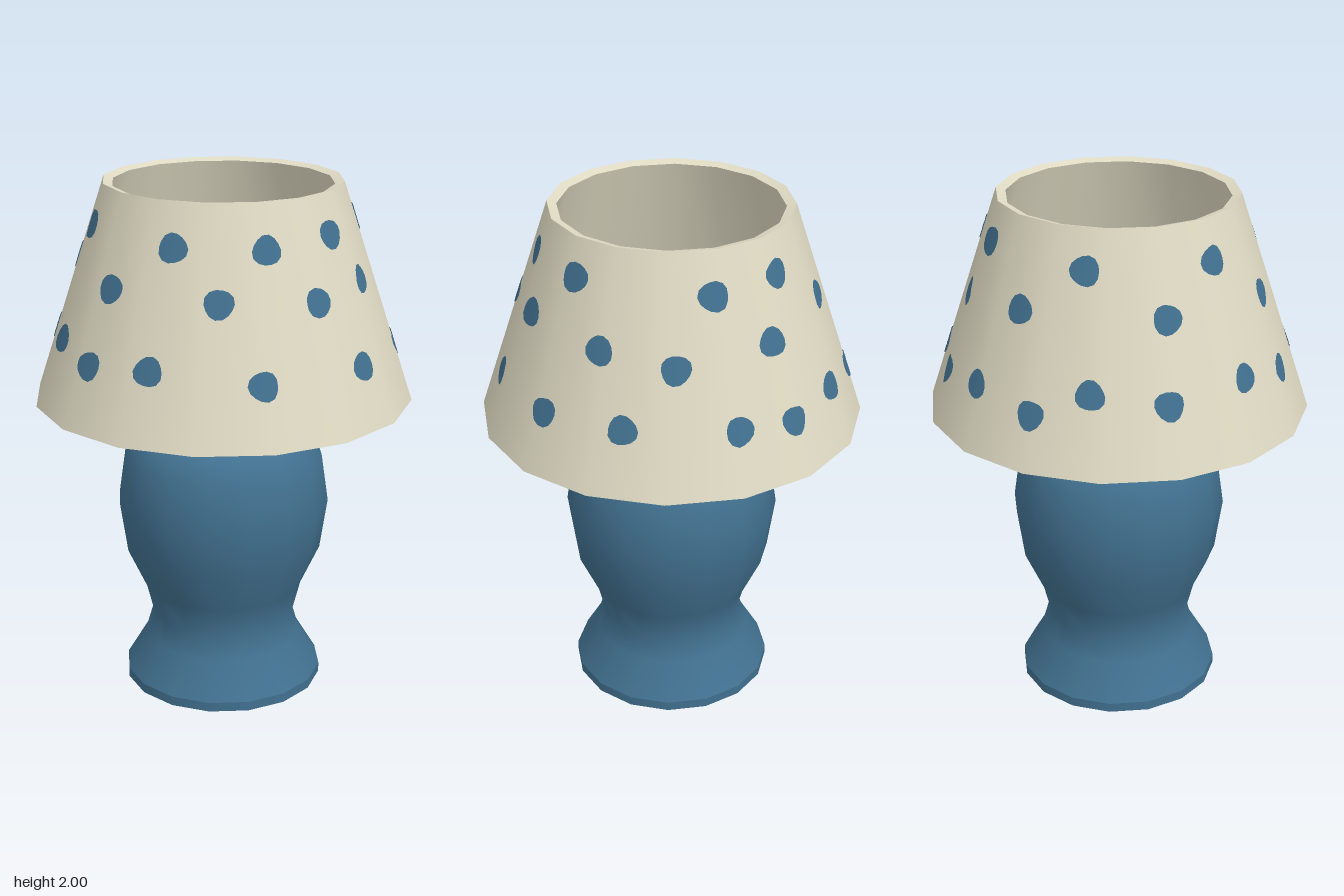
import * as THREE from 'three';

const SIDES = 16;
const SHADE = { yBottom: 1.175, yTop: 2, rBottom: 0.72, rTop: 0.447 };

// Angle in degrees (0 = front, 90 = model's left) and height of each spot
const SPOTS = [
  [-159, 1.38], [-179, 1.40], [-162, 1.66], [176, 1.85], [161, 1.62], [144, 1.41],
  [133, 1.66], [115, 1.40], [117, 1.87], [95, 1.68], [82, 1.40], [81, 1.86],
  [67, 1.65], [48, 1.84], [43, 1.40], [29, 1.67], [10, 1.845], [6, 1.435],
  [-18, 1.41], [-15.5, 1.68], [-39.5, 1.45], [-43.5, 1.86], [-69, 1.42], [-67, 1.70],
  [-94, 1.46], [-98.5, 1.86], [-113, 1.37], [-124, 1.70], [-137, 1.41], [-153, 1.87],
];

function lathe(name, profile, material) {
  const points = profile.map(([r, y]) => new THREE.Vector2(r, y));
  const mesh = new THREE.Mesh(new THREE.LatheGeometry(points, SIDES), material);
  mesh.name = name;
  return mesh;
}

// Radius of the sixteen-sided shade at an angle and height
function shadeRadius(angle, y) {
  const t = (y - SHADE.yBottom) / (SHADE.yTop - SHADE.yBottom);
  const r = THREE.MathUtils.lerp(SHADE.rBottom, SHADE.rTop, t);
  const step = (Math.PI * 2) / SIDES;
  const local = THREE.MathUtils.euclideanModulo(angle, step) - step / 2;
  return (r * Math.cos(step / 2)) / Math.cos(local);
}

// A thin, slightly uneven disc wrapped onto the shade
function spot(degrees, height, index, material) {
  const geometry = new THREE.RingGeometry(0, 0.053, 14, 3);
  const pos = geometry.attributes.position;
  const normal = geometry.attributes.normal;
  const centre = THREE.MathUtils.degToRad(degrees);
  const r0 = shadeRadius(centre, height);
  for (let i = 0; i < pos.count; i++) {
    const u = pos.getX(i), v = pos.getY(i);
    const wobble = 1 + 0.06 * Math.sin(3 * Math.atan2(v, u) + index * 1.7);
    const angle = centre + (u * wobble) / r0;
    const y = height + v * wobble * 0.95;
    const r = shadeRadius(angle, y) + 0.004;
    pos.setXYZ(i, r * Math.sin(angle), y, r * Math.cos(angle));
    normal.setXYZ(i, 0.949 * Math.sin(angle), 0.315, 0.949 * Math.cos(angle));
  }
  const mesh = new THREE.Mesh(geometry, material);
  mesh.name = 'spot' + (index + 1);
  return mesh;
}

export function createModel() {
  const blue = new THREE.MeshStandardMaterial({ name: 'blue glaze', color: 0x41708f, side: THREE.DoubleSide });
  const cream = new THREE.MeshStandardMaterial({ name: 'cream fabric', color: 0xdfdac3, side: THREE.DoubleSide });
  const lamp = new THREE.Group();
  lamp.name = 'tableLamp';

  // Hollow vase base, open underneath
  const base = new THREE.Group();
  base.name = 'base';
  base.add(
    lathe('foot', [[0.39, 0], [0.39, 0.037]], blue),
    lathe('vase', [
      [0.39, 0.037], [0.308, 0.175], [0.28, 0.27], [0.31, 0.39], [0.383, 0.55],
      [0.412, 0.75], [0.385, 0.935], [0.32, 1.01], [0.203, 1.075],
    ], blue),
    lathe('collar', [[0.203, 1.075], [0.203, 1.13]], blue),
    lathe('collarTop', [[0.203, 1.13], [0.054, 1.13]], blue),
    lathe('post', [[0.054, 1.13], [0.054, 1.5]], blue),
  );

  // Tapered shade with wall thickness; separate strips keep the rims sharp
  const shade = new THREE.Group();
  shade.name = 'shade';
  const outerLow = [SHADE.rBottom, SHADE.yBottom], outerHigh = [SHADE.rTop, SHADE.yTop];
  const innerLow = [0.685, 1.165], innerHigh = [0.412, 1.99];
  shade.add(
    lathe('shadeOutside', [outerLow, outerHigh], cream),
    lathe('shadeTopRim', [outerHigh, innerHigh], cream),
    lathe('shadeInside', [innerHigh, innerLow], cream),
    lathe('shadeBottomRim', [innerLow, outerLow], cream),
  );

  // Painted spots
  const spots = new THREE.Group();
  spots.name = 'spots';
  SPOTS.forEach(([degrees, y], i) => spots.add(spot(degrees, y, i, blue)));

  lamp.add(base, shade, spots);
  return lamp;
}
